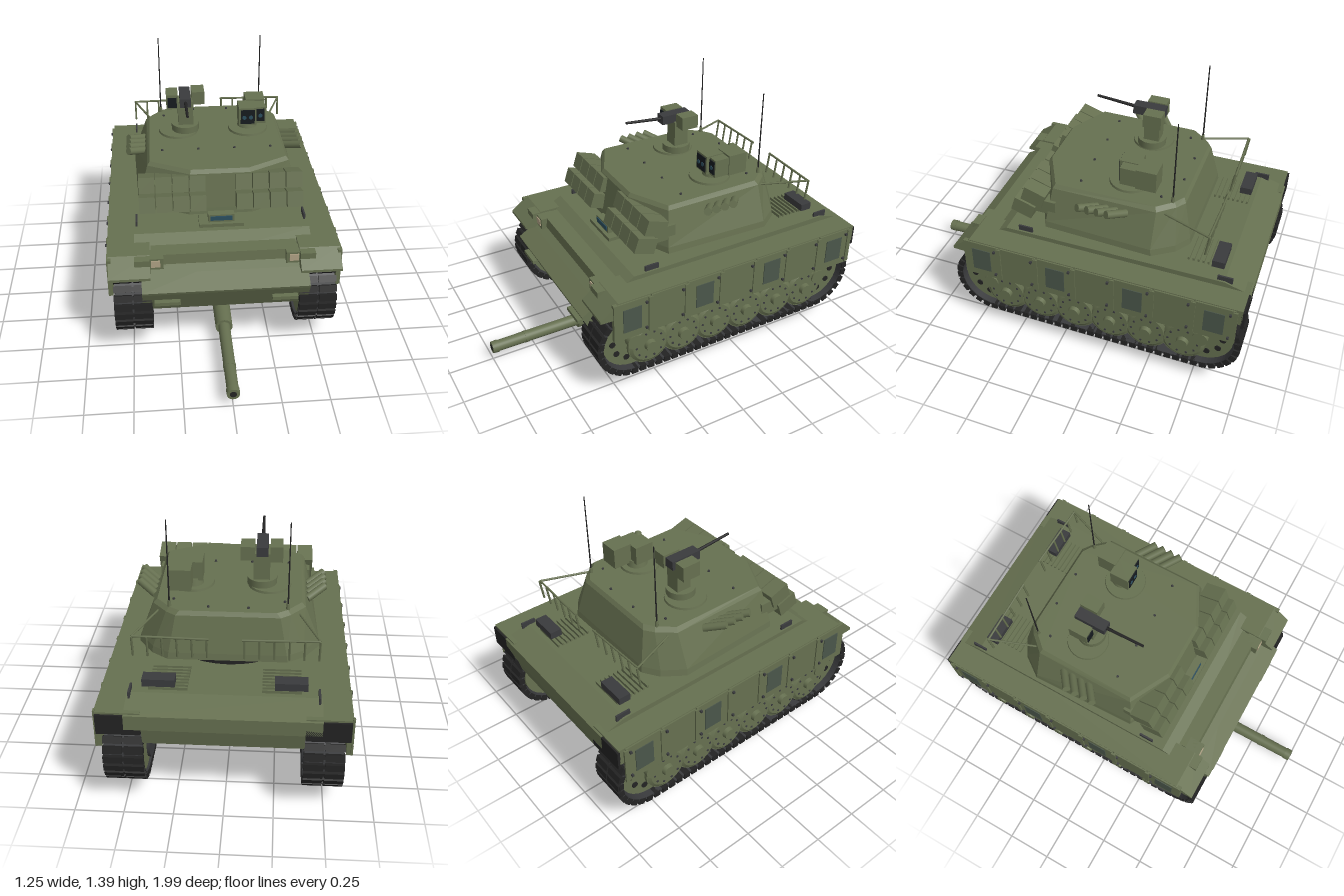
import * as THREE from 'three';
import { mergeGeometries } from 'three/addons/utils/BufferGeometryUtils.js';

const mat = (color) => new THREE.MeshStandardMaterial({ color });
const V = (x, y, z) => new THREE.Vector3(x, y, z);

export function createModel() {
  const root = new THREE.Group();
  root.name = 'tank';
  const green = mat(0x667050), dark = mat(0x232323), steel = mat(0x3a3b3d), screen = mat(0x4a564a);
  const glass = mat(0x2c4f60), black = mat(0x161b1f), lamp = mat(0xb0a285);

  function put(object, name, parent) {
    object.name = name;
    parent.add(object);
    return object;
  }
  const add = (name, geo, m, parent) => put(new THREE.Mesh(geo, m), name, parent);
  const group = (name, parent) => put(new THREE.Group(), name, parent);
  // Box given by its x, y and z ranges
  function span(name, x0, x1, y0, y1, z0, z1, m, parent) {
    const geo = new THREE.BoxGeometry(Math.abs(x1 - x0), y1 - y0, z1 - z0);
    return add(name, geo.translate((x0 + x1) / 2, (y0 + y1) / 2, (z0 + z1) / 2), m, parent);
  }
  // Cylinder or cone between two points
  function rod(name, a, b, r0, r1, m, parent, sides = 12) {
    const mesh = add(name, new THREE.CylinderGeometry(r1, r0, a.distanceTo(b), sides), m, parent);
    mesh.position.copy(a).add(b).multiplyScalar(0.5);
    mesh.quaternion.setFromUnitVectors(V(0, 1, 0), b.clone().sub(a).normalize());
  }
  // Side profile of [z, y] points extruded across x
  function profile(name, pts, x0, x1, parent) {
    const shape = new THREE.Shape(pts.map(([z, y]) => new THREE.Vector2(z, y)));
    const geo = new THREE.ExtrudeGeometry(shape, { depth: Math.abs(x1 - x0), bevelEnabled: false });
    add(name, geo.rotateY(-Math.PI / 2).translate(Math.max(x0, x1), 0, 0), green, parent);
  }
  // Flat-faced loft through mirrored half outlines of [x, z] at given heights
  function loft(levels) {
    const rings = levels.map(([y, half]) => [
      ...half.map(([x, z]) => V(x, y, z)), ...half.slice().reverse().map(([x, z]) => V(-x, y, z))]);
    const n = rings[0].length, pts = [], bottom = rings[0], top = rings[rings.length - 1];
    for (let r = 0; r + 1 < rings.length; r++) for (let i = 0; i < n; i++) {
      const j = (i + 1) % n, a = rings[r], b = rings[r + 1];
      pts.push(a[i], b[i], a[j], a[j], b[i], b[j]);
    }
    for (let i = 1; i < n - 1; i++) pts.push(bottom[0], bottom[i], bottom[i + 1], top[0], top[i + 1], top[i]);
    const geo = new THREE.BufferGeometry().setFromPoints(pts);
    geo.computeVertexNormals();
    return geo;
  }

  // Hull
  const hull = group('hull', root);
  profile('hullTub', [[0.5, 0.6], [0.54, 0.3], [-0.8, 0.3], [-0.94, 0.42], [-0.94, 0.6]], -0.385, 0.385, hull);
  profile('nosePlate', [[0.35, 0.63], [0.635, 0.455], [0.63, 0.44], [0.565, 0.3], [0.5, 0.3], [0.35, 0.52]], -0.437, 0.437, hull);
  profile('deck', [[0.35, 0.635], [0.55, 0.52], [-0.99, 0.52], [-0.99, 0.6], [-0.85, 0.64]], -0.47, 0.47, hull);
  profile('rearPlate', [[-0.9, 0.54], [-0.9, 0.4], [-0.96, 0.42], [-0.985, 0.54]], -0.39, 0.39, hull);
  span('driverHatch', -0.12, 0.12, 0.63, 0.655, 0.2, 0.32, green, hull);
  span('driverPeriscope', -0.07, 0.07, 0.65, 0.7, 0.21, 0.3, green, hull);
  span('periscopeGlass', -0.06, 0.06, 0.667, 0.692, 0.3, 0.305, glass, hull);

  for (const s of [1, -1]) {
    const side = group(s > 0 ? 'leftSide' : 'rightSide', hull);
    // Fender with sloping front flap, lamp and handles
    profile('fender', [[0.51, 0.61], [0.61, 0.535], [0.61, 0.52], [0.5, 0.515], [-0.98, 0.515], [-0.98, 0.61]], s * 0.39, s * 0.605, side);
    span('fenderBlock', s * 0.39, s * 0.47, 0.53, 0.607, 0.42, 0.56, green, side);
    span('rearMudflap', s * 0.39, s * 0.605, 0.49, 0.6, -0.99, -0.975, dark, side);
    span('headlampHousing', s * 0.32, s * 0.4, 0.535, 0.6, 0.45, 0.535, green, side);
    span('headlamp', s * 0.337, s * 0.385, 0.55, 0.59, 0.535, 0.54, lamp, side);
    span('towHandle', s * 0.24, s * 0.375, 0.372, 0.392, 0.595, 0.635, green, side);
    for (const z of [0.2, -0.89]) span('deckHandle', s * 0.45, s * 0.46, 0.63, 0.665, z, z + 0.08, steel, side);
    // Engine vents
    span('exhaustVent', s * 0.24, s * 0.4, 0.66, 0.7, -0.83, -0.765, steel, side);
    span('ventFoot', s * 0.27, s * 0.37, 0.63, 0.66, -0.82, -0.775, green, side);
    for (let z = -0.825; z < -0.64; z += 0.026) span('louvre', s * 0.18, s * 0.37, 0.635, 0.655, z, z + 0.01, green, side);
    // Skirt panels, every other one with a dark screen
    for (let i = 0; i < 7; i++) {
      const z1 = 0.54 - i * 0.2135, z0 = z1 - 0.206;
      span('skirtPanel', s * 0.59, s * 0.613, 0.382, 0.605, z0, z1, green, side);
      span('skirtStrap', s * 0.61, s * 0.62, 0.39, 0.6, z0 - 0.012, z0 + 0.012, green, side);
      for (const y of [0.41, 0.57]) span('skirtBolt', s * 0.61, s * 0.625, y, y + 0.012, z0 + 0.018, z0 + 0.03, steel, side);
      if (i % 2 === 0) span('skirtScreen', s * 0.61, s * 0.617, 0.425, 0.565, z1 - 0.155, z1 - 0.05, screen, side);
    }
    addRunningGear(s, group('runningGear', side));
  }

  // Tracks and wheels of one side
  function addRunningGear(s, g) {
    const zf = 0.41, zr = -0.78, yc = 0.315, R = 0.195, L = zf - zr, arc = Math.PI * R;
    const at = (d) => { // position and outward angle along the loop
      if (d < L) return [zr + d, yc + R, 0];
      if (d >= L + arc && d < 2 * L + arc) return [zf - (d - L - arc), yc - R, Math.PI];
      const front = d < L + arc, a = (front ? d - L : d - 2 * L) / R;
      return [(front ? zf : zr) + R * Math.sin(a), yc + R * Math.cos(a), a];
    };
    const pads = [], count = 74;
    for (let i = 0; i < count; i++) {
      const [z, y, a] = at(i / count * 2 * (L + arc));
      for (const [x, w, h, t, lift] of [[0.434, 0.094, 0.034, 0.036, 0], [0.538, 0.094, 0.034, 0.036, 0],
        [0.486, 0.2, 0.02, 0.02, 0], [0.486, 0.02, 0.06, 0.02, -0.03]])
        pads.push(new THREE.BoxGeometry(w, h, t).translate(0, lift, 0).rotateX(a).translate(s * x, y, z));
    }
    add('trackPads', mergeGeometries(pads), dark, g);
    // Continuous belt under the pads
    const loop = (r) => new THREE.Path().moveTo(zr, yc + r).absarc(zr, yc, r, Math.PI / 2, Math.PI * 1.5, false)
      .absarc(zf, yc, r, -Math.PI / 2, Math.PI / 2, false);
    const shape = new THREE.Shape(loop(0.193).getPoints(16));
    shape.holes.push(loop(0.178));
    const belt = new THREE.ExtrudeGeometry(shape, { depth: 0.19, bevelEnabled: false, curveSegments: 16 });
    add('trackBelt', belt.rotateY(-Math.PI / 2).translate(s * 0.486 + 0.095, 0, 0), steel, g);

    const disc = (name, r, x0, x1, y, z, m, r1 = r) => rod(name, V(s * x0, y, z), V(s * x1, y, z), r, r1, m, g, 28);
    const circle = (name, size, r, x0, x1, yc, zc, m) => {
      for (let a = 0; a < 6.2; a += Math.PI / 5) disc(name, size, x0, x1, yc + r * Math.sin(a), zc + r * Math.cos(a), m);
    };
    for (let i = 0; i < 6; i++) {
      const z = 0.32 - i * 0.202, y = 0.262;
      disc('innerRoadWheel', 0.12, 0.385, 0.46, y, z, steel);
      disc('wheelTyre', 0.122, 0.51, 0.57, y, z, green);
      disc('wheelDish', 0.118, 0.57, 0.582, y, z, green, 0.1);
      disc('wheelHub', 0.034, 0.58, 0.605, y, z, green, 0.03);
      disc('axle', 0.03, 0.37, 0.58, y, z, steel);
      circle('wheelBolt', 0.006, 0.08, 0.578, 0.586, y, z, steel);
    }
    for (const z of [zf, zr]) {
      disc('endWheel', 0.168, 0.4, 0.55, yc, z, green);
      disc('endWheelHub', 0.042, 0.55, 0.59, yc, z, green);
      circle('endWheelHole', 0.017, 0.115, 0.54, 0.555, yc, z, dark);
    }
  }

  // Turret
  const turret = group('turret', root);
  rod('turretRing', V(0, 0.62, -0.2), V(0, 0.67, -0.2), 0.39, 0.39, dark, turret, 40);
  rod('turretCollar', V(0, 0.665, -0.2), V(0, 0.695, -0.2), 0.36, 0.36, green, turret, 40);
  add('turretBody', loft([
    [0.685, [[0.3, -0.625], [0.385, -0.57], [0.463, -0.46], [0.44, 0.13], [0.17, 0.26]]],
    [0.72, [[0.295, -0.62], [0.38, -0.565], [0.458, -0.455], [0.435, 0.13], [0.17, 0.255]]],
    [0.91, [[0.26, -0.575], [0.31, -0.54], [0.385, -0.455], [0.385, 0.105], [0.16, 0.22]]],
    [0.93, [[0.24, -0.56], [0.295, -0.525], [0.365, -0.445], [0.37, 0.095], [0.155, 0.205]]],
  ]), green, turret);
  for (const s of [1, -1]) {
    // Armour blocks on the cheeks
    for (const [y, z] of [[0.855, 0.2], [0.77, 0.26]]) for (let i = 0; i < 4; i++) {
      const block = add('armourBlock', new THREE.BoxGeometry(0.084, 0.086, 0.12), green, turret);
      block.position.set(s * (0.123 + i * 0.09), y, z);
      block.rotation.x = -0.32;
    }
    span('armourBracket', s * 0.09, s * 0.42, 0.76, 0.84, 0.08, 0.2, green, turret);
    // Smoke launchers
    for (let z = -0.26; z < -0.1; z += 0.052)
      rod('smokeLauncher', V(s * 0.395, 0.87, z - 0.04), V(s * 0.487, 0.907, z + 0.035), 0.021, 0.021, green, turret);
    // Antenna
    rod('antennaBase', V(s * 0.295, 0.9, -0.515), V(s * 0.295, 0.96, -0.515), 0.012, 0.008, green, turret);
    rod('antenna', V(s * 0.295, 0.94, -0.515), V(s * 0.295, 1.395, -0.515), 0.0045, 0.003, dark, turret, 6);
    // Rear rack
    const rail = (a, b) => rod('rackRail', a, b, 0.006, 0.006, green, turret, 6);
    rail(V(s * 0.35, 0.89, -0.48), V(s * 0.45, 0.89, -0.745));
    rail(V(s * 0.45, 0.89, -0.745), V(s * 0.08, 0.89, -0.755));
    for (let x = 0.09; x < 0.46; x += 0.072) rail(V(s * x, 0.89, -0.75), V(s * x, 0.775, -0.735));
    // Roof hatch plate and bolts
    rod('roofHatch', V(s * 0.2, 0.92, -0.26), V(s * 0.2, 0.942, -0.26), 0.115, 0.11, green, turret, 28);
    for (const [x, z] of [[0.1, -0.02], [0.3, -0.02], [0.1, -0.52], [0.28, -0.45]])
      rod('roofBolt', V(s * x, 0.925, z), V(s * x, 0.938, z), 0.008, 0.006, steel, turret, 8);
  }

  // Sight on the left of the roof
  const sight = group('roofSight', turret);
  rod('sightPost', V(0.2, 0.93, -0.28), V(0.2, 0.98, -0.28), 0.06, 0.05, green, sight, 20);
  span('sightHead', 0.145, 0.245, 0.97, 1.075, -0.32, -0.21, green, sight);
  span('sightSide', 0.235, 0.3, 0.97, 1.07, -0.33, -0.23, green, sight);
  span('sightRear', 0.195, 0.305, 0.965, 1.08, -0.425, -0.315, green, sight);
  span('sightWindow', 0.155, 0.235, 0.98, 1.065, -0.21, -0.205, black, sight);
  span('sideWindow', 0.247, 0.293, 0.985, 1.06, -0.23, -0.225, black, sight);
  for (const [x, z] of [[0.175, -0.206], [0.213, -0.206], [0.27, -0.226]])
    rod('sightLens', V(x, 1.02, z), V(x, 1.02, z + 0.004), 0.012, 0.012, glass, sight);

  // Remote gun mount on the right of the roof
  const mount = group('roofGunMount', turret);
  rod('mountCollar', V(-0.16, 0.94, -0.26), V(-0.16, 0.98, -0.26), 0.078, 0.078, green, mount, 24);
  span('mountPedestal', -0.2, -0.115, 0.97, 1.125, -0.31, -0.225, green, mount);
  span('mountSight', -0.265, -0.2, 1.085, 1.17, -0.32, -0.215, green, mount);
  span('mountSightWindow', -0.258, -0.207, 1.095, 1.155, -0.215, -0.21, black, mount);
  span('ammoBox', -0.122, -0.05, 1.1, 1.175, -0.335, -0.235, green, mount);
  span('gunReceiver', -0.19, -0.13, 1.12, 1.17, -0.33, -0.155, steel, mount);
  rod('gunBarrel', V(-0.16, 1.148, -0.16), V(-0.16, 1.169, 0.06), 0.009, 0.007, dark, mount);

  // Main gun lying low under the hull: [name, z from, z to, radii, material]
  const gun = group('mainGun', root);
  for (const [name, z0, z1, r0, r1, m] of [
    ['muzzle', 0.965, 1, 0.035, 0.033, green], ['bore', 0.99, 1.001, 0.018, 0.018, dark],
    ['barrel', 0.48, 0.97, 0.033, 0.031, green], ['barrelBand', 0.79, 0.81, 0.034, 0.034, green],
    ['boreEvacuator', 0.29, 0.49, 0.049, 0.047, green], ['rearBarrel', -0.11, 0.3, 0.037, 0.036, green],
    ['rearBand', 0.06, 0.08, 0.042, 0.042, green], ['mantletBoot', -0.205, -0.1, 0.079, 0.048, dark],
  ]) rod(name, V(0, 0.082, z0), V(0, 0.082, z1), r0, r1, m, gun, 28);
  return root;
}
